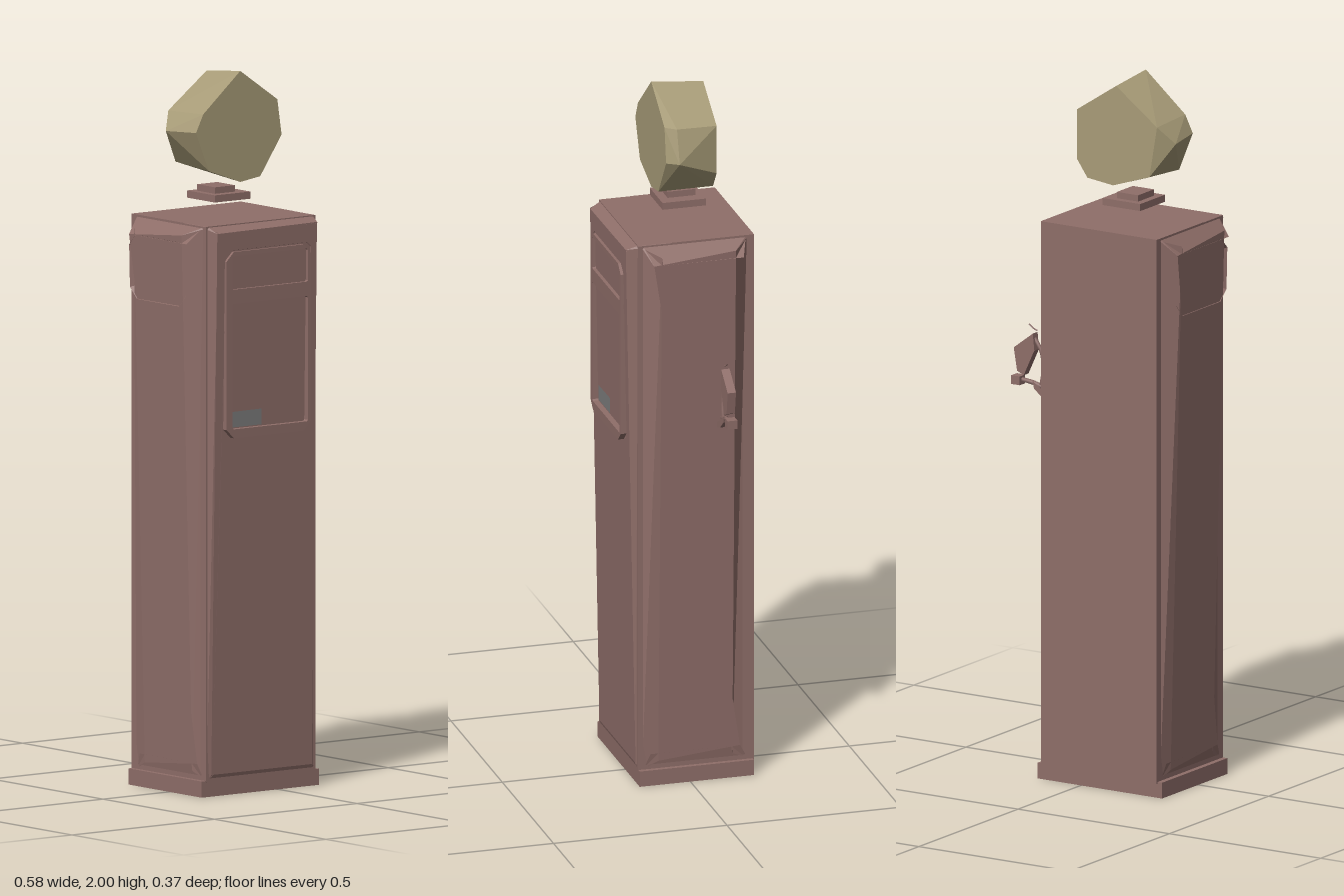
import * as THREE from 'three';
import { ConvexGeometry } from 'three/addons/geometries/ConvexGeometry.js';

const paint = new THREE.MeshStandardMaterial({ color: 0x8f6e69 });
paint.name = 'dusty red paint';
const glass = new THREE.MeshStandardMaterial({ color: 0xa89c78 });
glass.name = 'cream globe';
const grey = new THREE.MeshStandardMaterial({ color: 0x7c7c7c });
grey.name = 'grey dial';

// Rectangle with cut corners, as a list of points
function cutRect(x0, x1, y0, y1, c = 0.004) {
  return [[x0 + c, y0], [x1 - c, y0], [x1, y0 + c], [x1, y1 - c],
    [x1 - c, y1], [x0 + c, y1], [x0, y1 - c], [x0, y0 + c]].map(p => new THREE.Vector2(...p));
}

function plate(points, depth, holes = [], bevel = null) {
  const shape = new THREE.Shape(points);
  holes.forEach(h => shape.holes.push(new THREE.Path(h)));
  return new THREE.ExtrudeGeometry(shape, bevel
    ? { depth, bevelEnabled: true, bevelSegments: 1, bevelSize: bevel, bevelOffset: -bevel, bevelThickness: depth }
    : { depth, bevelEnabled: false });
}

// Raised panel whose thickness grows from the foot to the shoulder
function taperedPanel(points, thick, bevel, holes) {
  const g = plate(points, 0.001, holes, bevel);
  const p = g.attributes.position;
  for (let i = 0; i < p.count; i++) {
    const full = p.getZ(i) > 0.0015 ? thick : 0;
    p.setZ(i, full * Math.min(1, 0.06 + 0.94 * p.getY(i) / 1.5) - (full ? 0 : 0.002));
  }
  g.computeVertexNormals();
  return g;
}

export function createModel() {
  const model = new THREE.Group();
  model.name = 'fuelPump';
  const add = (name, geo, mat = paint, x = 0, y = 0, z = 0) => {
    const m = new THREE.Mesh(geo, mat);
    m.name = name;
    m.position.set(x, y, z);
    model.add(m);
    return m;
  };
  const box = (name, x0, x1, y0, y1, z0, z1, mat) => add(name,
    new THREE.BoxGeometry(x1 - x0, y1 - y0, z1 - z0), mat,
    (x0 + x1) / 2, (y0 + y1) / 2, (z0 + z1) / 2);

  // Cabinet: solid back, then a front layer with the window recess
  const openings = [cutRect(-0.19, 0.075, 1.025, 1.375), cutRect(-0.19, 0.075, 1.415, 1.508)];
  box('base', -0.268, 0.143, 0, 0.045, -0.183, 0.146);
  box('cabinetBack', -0.253, 0.13, 0.04, 1.592, -0.187, 0.05);
  add('cabinetFront', plate(cutRect(-0.253, 0.13, 0.04, 1.592, 0.001), 0.097, openings), paint, 0, 0, 0.05);
  add('frontPanel', taperedPanel(cutRect(-0.25, 0.128, 0.045, 1.59, 0.006), 0.03, 0.016, openings), paint, 0, 0, 0.147);

  // Bulged side panels; the one at -x carries a vent slot
  const vent = cutRect(-0.1, 0.06, 1.41, 1.5);
  const right = add('sidePanelRight', taperedPanel(cutRect(-0.168, 0.135, 0.045, 1.588), 0.042, 0.045, [vent]), paint, -0.253);
  right.rotation.y = -Math.PI / 2;
  const left = add('sidePanelLeft', taperedPanel(cutRect(-0.135, 0.168, 0.045, 1.588), 0.042, 0.045), paint, 0.13);
  left.rotation.y = Math.PI / 2;
  const louver = add('ventLouver', new THREE.BoxGeometry(0.006, 0.075, 0.16), paint, -0.272, 1.45, -0.02);
  louver.rotation.z = -0.4;

  // Window frame, dial and slanted inner faces
  add('windowFrame', plate(cutRect(-0.21, 0.085, 1.0, 1.52, 0.025), 0.02, openings), paint, 0, 0, 0.164);
  box('dialPlate', -0.186, -0.075, 1.028, 1.372, 0.161, 0.168, grey);
  const card = add('windowInnerFace', new THREE.BoxGeometry(0.17, 0.34, 0.006), paint, 0.0, 1.2, 0.11);
  card.rotation.y = -0.6;
  const tri = [[-0.19, 1.417], [0.07, 1.417], [-0.19, 1.505]].map(p => new THREE.Vector2(...p));
  add('upperLouver', plate(tri, 0.008), paint, 0, 0, 0.14);
  const ledge = add('upperLouverSlope', new THREE.BoxGeometry(0.262, 0.09, 0.006), paint, -0.058, 1.46, 0.11);
  ledge.rotation.x = 0.5;

  // Globe mount
  box('mountLower', -0.135, -0.01, 1.637, 1.657, -0.09, 0.035);
  box('mountUpper', -0.115, -0.045, 1.657, 1.675, -0.07, 0.01);

  // Faceted globe from a front outline, a back outline and side corners
  const ring = (z, pts) => pts.map(([x, y]) => new THREE.Vector3(x, y, z));
  add('globe', new ConvexGeometry([
    ...ring(0.053, [[-0.06, 2], [0.07, 1.91], [0.085, 1.81], [0.01, 1.7], [-0.06, 1.69],
      [-0.17, 1.73], [-0.215, 1.84], [-0.19, 1.89]]),
    ...ring(-0.097, [[-0.06, 1.985], [0.07, 1.9], [0.07, 1.76], [0.035, 1.71], [-0.05, 1.7],
      [-0.17, 1.74], [-0.195, 1.885]]),
    ...ring(0.02, [[0.107, 1.81], [0.08, 1.905]]),
    ...ring(-0.06, [[-0.233, 1.835]]),
  ]), glass);

  // Nozzle hanging on the left side
  const flat = (name, pts, thick) => add(name,
    plate(pts.map(p => new THREE.Vector2(...p)), thick), paint, 0, 0, -0.078 - thick / 2);
  const rod = (name, pts, r) => add(name, new THREE.TubeGeometry(
    new THREE.CatmullRomCurve3(pts.map(([x, y]) => new THREE.Vector3(x, y, -0.078))), 8, r, 5), paint);
  flat('nozzleHook', [[0.16, 1.045], [0.19, 1.055], [0.22, 1.08], [0.225, 1.1], [0.2, 1.085], [0.16, 1.06]], 0.012);
  rod('nozzleBar', [[0.19, 1.085], [0.23, 1.095], [0.285, 1.1]], 0.007);
  box('nozzleRest', 0.262, 0.29, 1.085, 1.11, -0.092, -0.064);
  rod('nozzleLever', [[0.2, 1.09], [0.192, 1.14], [0.2, 1.19], [0.225, 1.225]], 0.006);
  flat('nozzleBody', [[0.215, 1.19], [0.25, 1.115], [0.272, 1.125], [0.283, 1.19], [0.22, 1.238]], 0.024);
  rod('nozzleWire', [[0.212, 1.245], [0.226, 1.25], [0.24, 1.26]], 0.002);
  return model;
}
